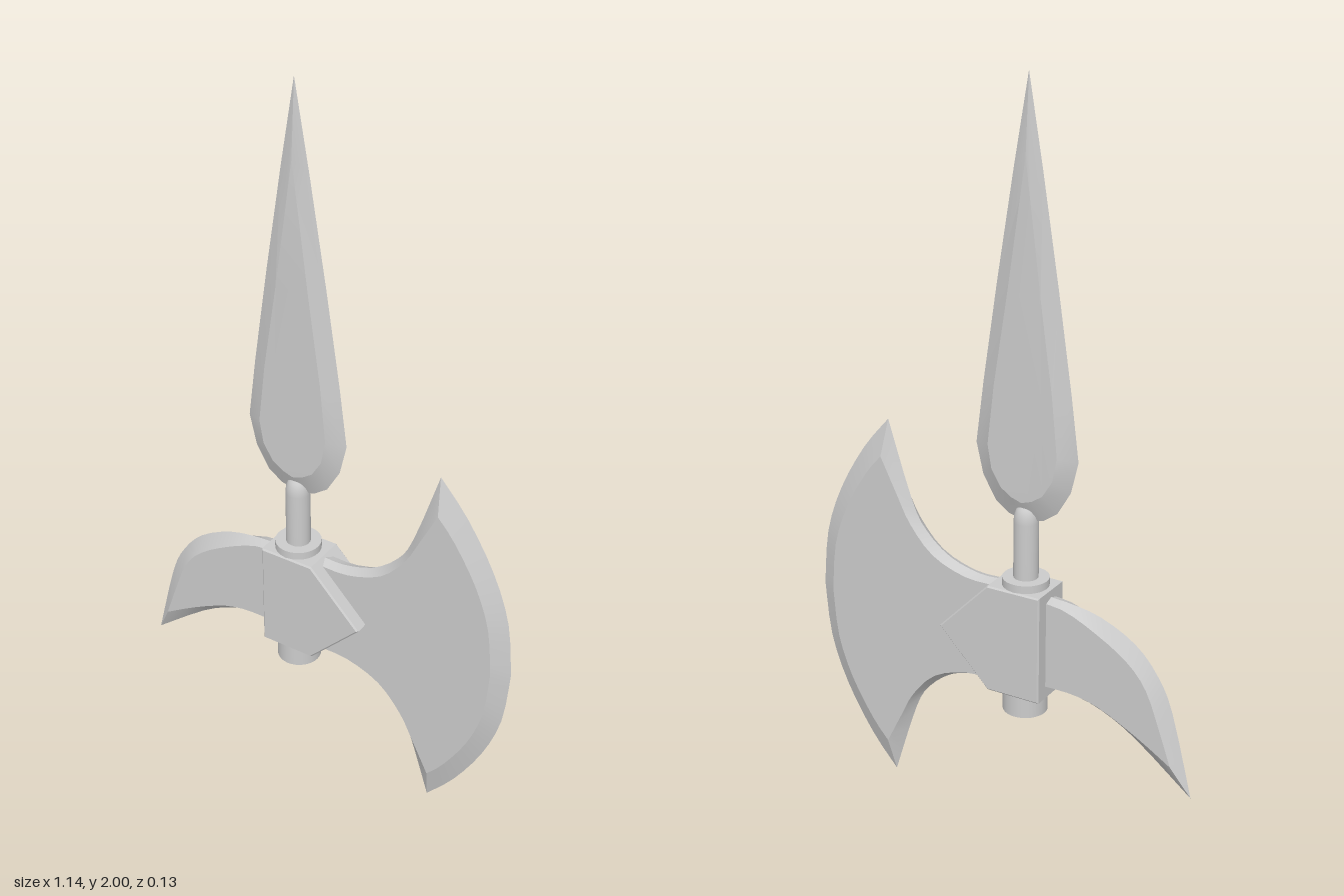
import * as THREE from 'three';
import { toCreasedNormals } from 'three/addons/utils/BufferGeometryUtils.js';

const material = new THREE.MeshStandardMaterial({ color: 0xcccccc });
const POLE_X = -0.08;
const AXE_Y = 0.53;

function addPart(group, name, geometry) {
  const mesh = new THREE.Mesh(geometry, material);
  mesh.name = name;
  group.add(mesh);
  return mesh;
}

// Smooths a row of [edgeX, edgeY, flatX, flatY] stations, keeping edge and flat paired.
function smooth(rows, steps) {
  const edge = new THREE.SplineCurve(rows.map(r => new THREE.Vector2(r[0], r[1]))).getPoints(steps);
  const flat = new THREE.SplineCurve(rows.map(r => new THREE.Vector2(r[2], r[3]))).getPoints(steps);
  return edge.map((e, i) => [e.x, e.y, flat[i].x, flat[i].y]);
}

// Blade: a sharp outline at z = 0 bevelled up to a flat face on both sides.
// Stations run counter-clockwise; thickness(y) is the half thickness of the flat.
function bladeGeometry(rows, thickness) {
  const pos = [];
  const n = rows.length;
  const edge = i => [rows[i][0], rows[i][1], 0];
  const flat = (i, s) => [rows[i][2], rows[i][3], s * thickness(rows[i][3])];
  const tri = (a, b, c, s) => pos.push(...a, ...(s > 0 ? b : c), ...(s > 0 ? c : b));
  const faces = THREE.ShapeUtils.triangulateShape(rows.map(r => new THREE.Vector2(r[2], r[3])), []);
  for (const s of [1, -1]) {
    for (let i = 0; i < n; i++) {
      const j = (i + 1) % n;
      tri(edge(i), edge(j), flat(j, s), s);
      tri(edge(i), flat(j, s), flat(i, s), s);
    }
    for (const [a, b, c] of faces) tri(flat(a, s), flat(b, s), flat(c, s), s);
  }
  const geometry = new THREE.BufferGeometry();
  geometry.setAttribute('position', new THREE.Float32BufferAttribute(pos, 3));
  return toCreasedNormals(geometry, 0.4);
}

function axeBlade() {
  // Lower half, y measured from the blade's centre line
  const neck = smooth([
    [0.0, -0.15, 0.0, -0.14], [0.06, -0.149, 0.09, -0.142], [0.15, -0.175, 0.19, -0.18],
    [0.225, -0.235, 0.26, -0.255], [0.27, -0.315, 0.3, -0.33], [0.34, -0.53, 0.35, -0.43]], 15);
  const cutting = smooth([
    [0.34, -0.53, 0.35, -0.43], [0.42, -0.435, 0.4, -0.37], [0.5, -0.3, 0.465, -0.26],
    [0.55, -0.16, 0.507, -0.14], [0.567, 0, 0.521, 0]], 12);
  const lower = [...neck, ...cutting.slice(1)];
  const upper = lower.slice(0, -1).reverse().map(([a, b, c, d]) => [a, -b, c, -d]);
  const rows = [...lower, ...upper].map(([a, b, c, d]) => [a, b + AXE_Y, c, d + AXE_Y]);
  return bladeGeometry(rows, () => 0.026);
}

function hookBlade() {
  const back = smooth([
    [-0.1, 0.665, -0.1, 0.655], [-0.2, 0.661, -0.2, 0.65], [-0.3, 0.643, -0.3, 0.607],
    [-0.4, 0.592, -0.39, 0.55], [-0.465, 0.52, -0.445, 0.485], [-0.51, 0.425, -0.485, 0.385],
    [-0.57, 0.195, -0.52, 0.285]], 18);
  const belly = smooth([
    [-0.57, 0.195, -0.52, 0.285], [-0.41, 0.32, -0.42, 0.345], [-0.31, 0.375, -0.31, 0.398],
    [-0.22, 0.402, -0.22, 0.415], [-0.1, 0.402, -0.1, 0.412]], 12);
  return bladeGeometry([...back, ...belly.slice(1)], () => 0.026);
}

function spearBlade() {
  // Right half from base to tip, x measured from the pole axis
  const right = [
    [0, 0.86, 0, 0.92], [0.05, 0.872, 0.03, 0.93], [0.09, 0.9, 0.06, 0.95],
    [0.128, 0.965, 0.088, 0.995], [0.148, 1.05, 0.1, 1.06], [0.126, 1.22, 0.083, 1.22],
    [0.087, 1.48, 0.047, 1.46], [0.04, 1.77, 0.014, 1.7], [0, 2, 0, 1.8]];
  const left = right.slice(1, -1).reverse().map(([a, b, c, d]) => [-a, b, -c, d]);
  const rows = [...right, ...left].map(([a, b, c, d]) => [a + POLE_X, b, c + POLE_X, d]);
  return bladeGeometry(rows, y => 0.026 - 0.012 * Math.max(0, y - 1) / 0.8);
}

// Pentagonal block pointing into the axe blade
function socketBlock() {
  const bevel = 0.004;
  const shape = new THREE.Shape([[-0.151, 0.384], [-0.002, 0.384], [0.142, 0.532],
    [-0.002, 0.68], [-0.151, 0.68]].map(p => new THREE.Vector2(...p)));
  return new THREE.ExtrudeGeometry(shape, {
    depth: 0.122, bevelEnabled: true, bevelThickness: bevel, bevelSize: bevel, bevelSegments: 1,
  }).translate(0, 0, -0.061);
}

// Slim neck with a rounded top that sinks into the spear blade
function neck() {
  const profile = [[0.033, 0.69], [0.033, 0.86], [0.031, 0.88], [0.025, 0.897], [0.014, 0.909], [0, 0.913]];
  return new THREE.LatheGeometry(profile.map(p => new THREE.Vector2(...p)), 24);
}

export function createModel() {
  const group = new THREE.Group();
  group.name = 'poleaxeHead';
  addPart(group, 'axeBlade', axeBlade());
  addPart(group, 'hookBlade', hookBlade());
  addPart(group, 'spearBlade', spearBlade());
  addPart(group, 'socketBlock', socketBlock());
  addPart(group, 'neck', neck()).position.x = POLE_X;

  // Round socket through the block, with a collar above it
  addPart(group, 'socketTube', new THREE.CylinderGeometry(0.06, 0.06, 0.2, 32)).position.set(POLE_X, 0.42, 0);
  addPart(group, 'collar', new THREE.CylinderGeometry(0.062, 0.062, 0.045, 32)).position.set(POLE_X, 0.683, 0);
  return group;
}
